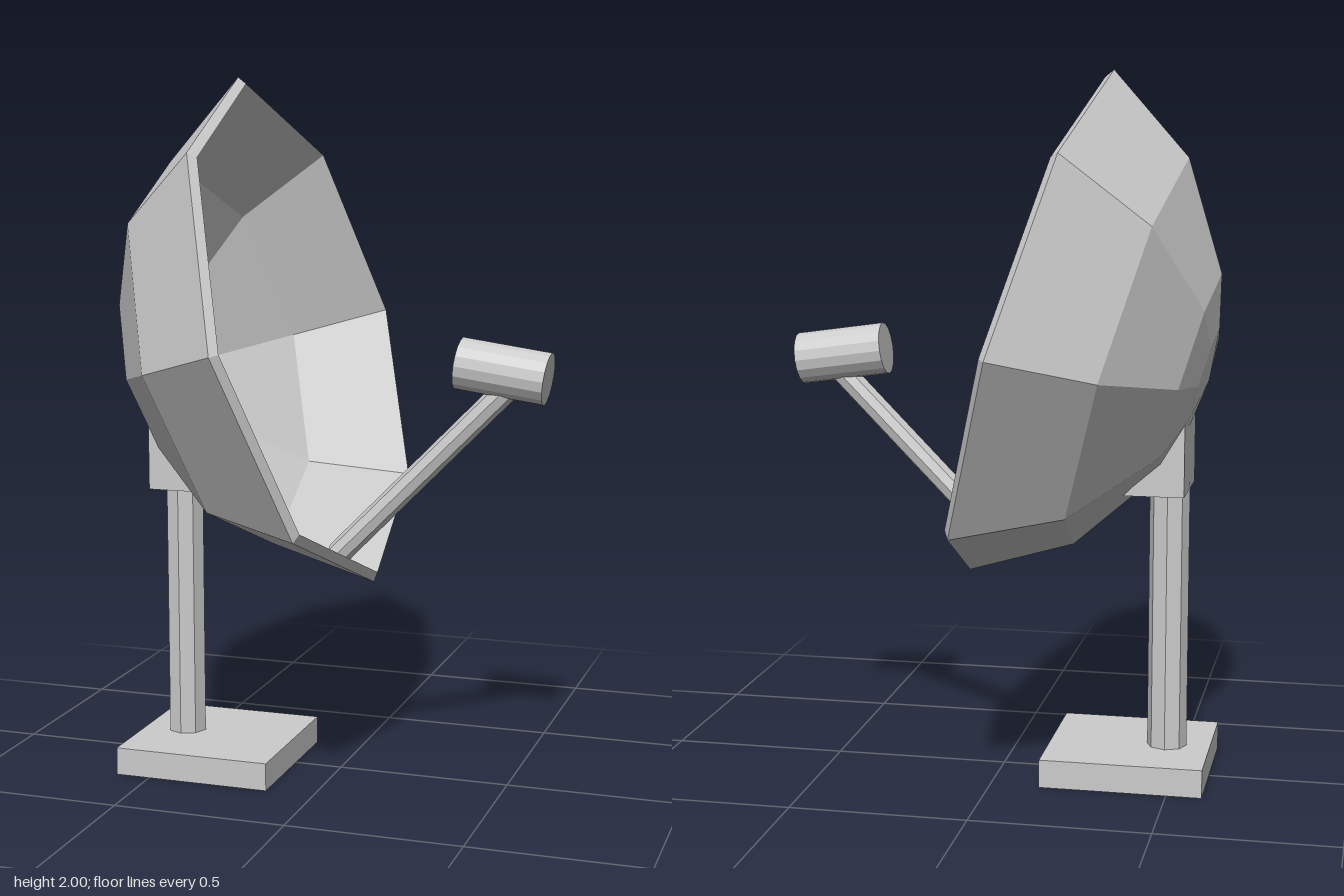
import * as THREE from 'three';

export function createModel() {
  const group = new THREE.Group();
  const material = new THREE.MeshStandardMaterial({ color: 0xcccccc, flatShading: true });

  function add(name, geometry, x = 0, y = 0, z = 0) {
    const mesh = new THREE.Mesh(geometry, material);
    mesh.name = name;
    mesh.position.set(x, y, z);
    group.add(mesh);
    return mesh;
  }

  // Cylinder running between two points
  function rod(name, from, to, radius, sides) {
    const dir = to.clone().sub(from);
    const mid = from.clone().add(to).multiplyScalar(0.5);
    const mesh = add(name, new THREE.CylinderGeometry(radius, radius, dir.length(), sides), mid.x, mid.y, mid.z);
    mesh.quaternion.setFromUnitVectors(new THREE.Vector3(0, 1, 0), dir.normalize());
    return mesh;
  }

  // Ground plate and octagonal mast
  add('base', new THREE.BoxGeometry(0.46, 0.08, 0.46), -0.37, 0.04, 0.03);
  add('mast', new THREE.CylinderGeometry(0.057, 0.057, 0.8, 8), -0.475, 0.45, 0.02);

  // Wedge bracket whose sloping side meets the back of the dish
  const wedge = new THREE.Shape([
    [-0.53, 0.83], [-0.36, 0.83], [-0.43, 0.9], [-0.52, 1.03], [-0.53, 1.03],
  ].map(([x, y]) => new THREE.Vector2(x, y)));
  add('bracket', new THREE.ExtrudeGeometry(wedge, { depth: 0.27, bevelEnabled: false }), 0, 0, -0.115);

  // Eight-sided dish: back shell, rim and inner shell in one profile
  const profile = [
    [0, -0.5], [0.15, -0.485], [0.295, -0.447], [0.573, -0.268], [0.744, 0],
    [0.719, 0.018], [0.55, -0.245], [0.28, -0.418], [0.14, -0.455], [0, -0.469],
  ].map(([r, a]) => new THREE.Vector2(r, a));
  const dish = add('dish', new THREE.LatheGeometry(profile, 8, -0.019), -0.103, 1.285, 0);
  dish.rotation.z = -THREE.MathUtils.degToRad(73.8);

  // Arm rising from the lower rim to the receiver
  rod('feedArm', new THREE.Vector3(-0.005, 0.645, 0.012), new THREE.Vector3(0.5, 1.16, 0.012), 0.035, 8);
  rod('receiver', new THREE.Vector3(0.35, 1.213, 0.01), new THREE.Vector3(0.602, 1.178, 0.01), 0.074, 16);

  return group;
}
